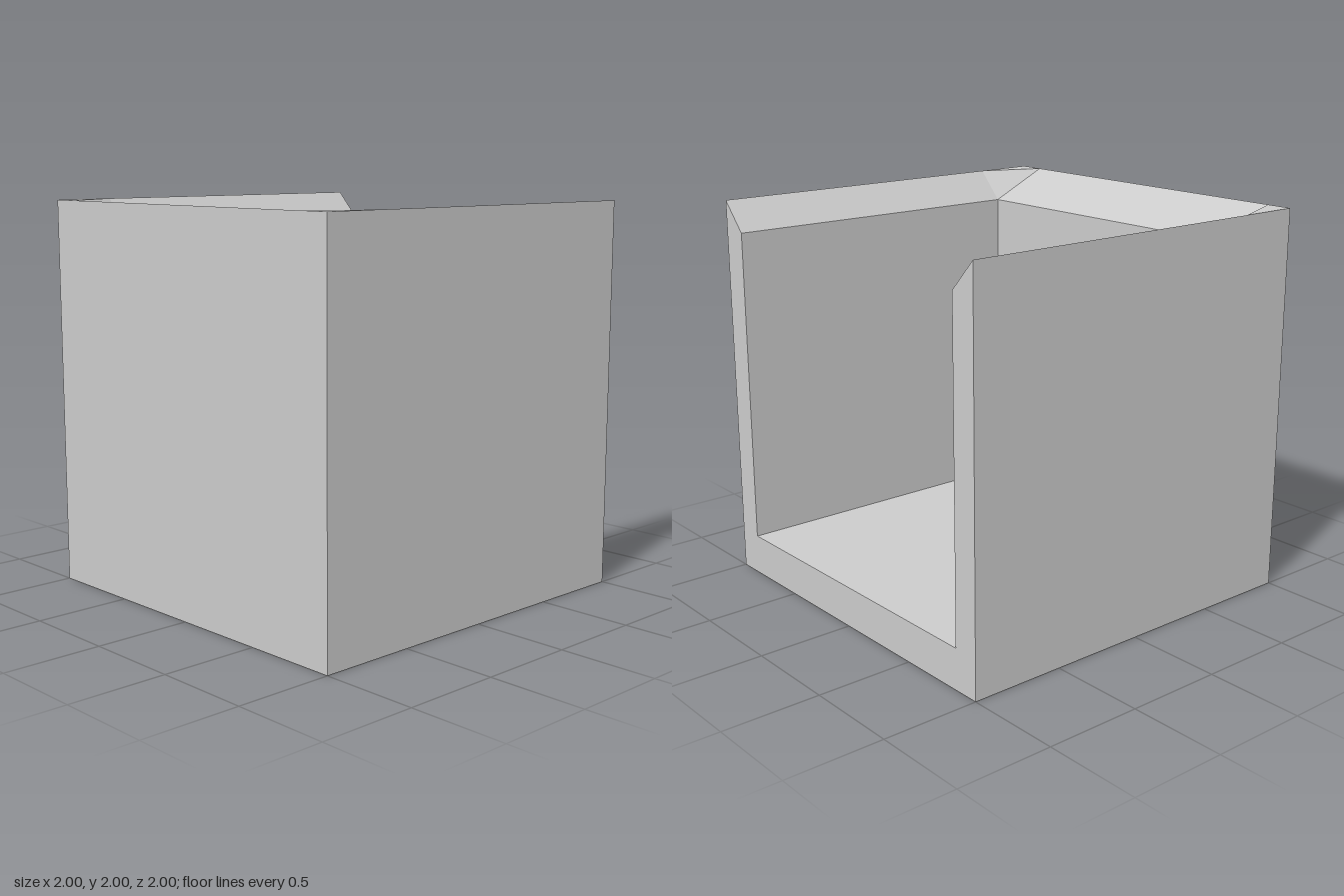
import * as THREE from 'three';
import { ConvexGeometry } from 'three/addons/geometries/ConvexGeometry.js';

const TOP = 2, LIP = 1.85;       // outer rim height and inner edge of the bevel
const FLOOR = 0.21;              // floor thickness
const IN_X = -0.68, IN_Z = 0.86; // inner faces of the end wall and side walls

export function createModel() {
  const group = new THREE.Group();
  const material = new THREE.MeshStandardMaterial({ color: 0xcccccc, flatShading: true });

  const add = (name, geometry) => {
    const mesh = new THREE.Mesh(geometry, material);
    mesh.name = name;
    group.add(mesh);
    return mesh;
  };

  // Solid standing on y = 0 whose corners [x, z, topHeight] set its sloped top
  const block = (name, corners) => add(name, new ConvexGeometry(
    corners.flatMap(([x, z, h]) => [new THREE.Vector3(x, 0, z), new THREE.Vector3(x, h, z)])
  ));

  // Floor, open towards +x
  add('floor', new THREE.BoxGeometry(1 - IN_X, FLOOR, 2 * IN_Z))
    .position.set((1 + IN_X) / 2, FLOOR / 2, 0);

  // Closed end wall with its top bevelled inward
  block('endWall', [
    [-1, -IN_Z, TOP], [-1, IN_Z, TOP], [IN_X, IN_Z, LIP], [IN_X, -IN_Z, LIP],
  ]);

  for (const [side, s] of [['front', 1], ['back', -1]]) {
    // Long wall with its top bevelled inward
    block(side + 'Wall', [
      [IN_X, s, TOP], [1, s, TOP], [1, s * IN_Z, LIP], [IN_X, s * IN_Z, LIP],
    ]);
    // Corner post: flat outer triangle, sloped inner triangle
    block(side + 'Corner', [
      [-1, s, TOP], [-1, s * IN_Z, TOP], [IN_X, s, TOP], [IN_X, s * IN_Z, LIP],
    ]);
  }
  return group;
}
